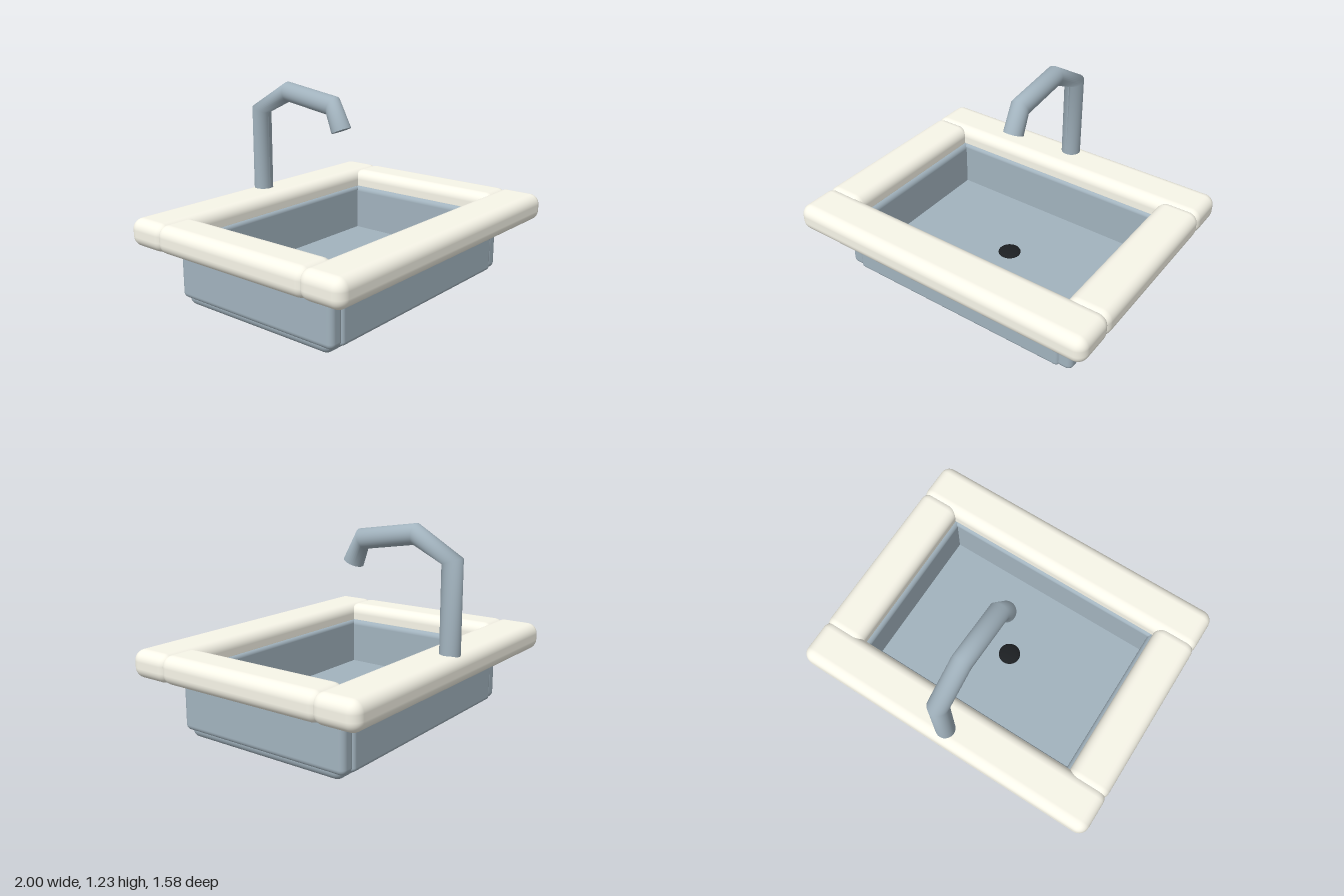
import * as THREE from 'three';
import { RoundedBoxGeometry } from 'three/addons/geometries/RoundedBoxGeometry.js';

const cream = new THREE.MeshStandardMaterial({ color: 0xf8f6e9 });
const steel = new THREE.MeshStandardMaterial({ color: 0xa2b3be });
const dark = new THREE.MeshStandardMaterial({ color: 0x1c1f22 });

// Rounded box given by its extents on each axis
function slab(name, [x0, x1], [y0, y1], [z0, z1], radius, material) {
  const mesh = new THREE.Mesh(new RoundedBoxGeometry(x1 - x0, y1 - y0, z1 - z0, 5, radius), material);
  mesh.position.set((x0 + x1) / 2, (y0 + y1) / 2, (z0 + z1) / 2);
  mesh.name = name;
  return mesh;
}

const span = (side, a, b) => (side > 0 ? [a, b] : [-b, -a]);

// Capped mitred pipe in the x = 0 plane; each joint is its outer and inner edge [z, y]
function bentPipe(joints, radius) {
  const steps = joints.length - 1;
  const geometry = new THREE.CylinderGeometry(1, 1, 1, 32, steps);
  const p = geometry.attributes.position;
  for (let k = 0; k < p.count; k++) {
    const [outer, inner] = joints[Math.round((p.getY(k) + 0.5) * steps)];
    const t = (p.getZ(k) + 1) / 2;
    p.setXYZ(k, p.getX(k) * radius,
      outer[1] + (inner[1] - outer[1]) * t,
      outer[0] + (inner[0] - outer[0]) * t);
  }
  geometry.computeVertexNormals();
  return new THREE.Mesh(geometry, steel);
}

export function createModel() {
  const model = new THREE.Group();
  model.name = 'sink';

  // Counter rim: four bars whose rounded ends run into each other
  const rim = new THREE.Group();
  rim.name = 'rim';
  // Basin: floor slab and four walls
  const basin = new THREE.Group();
  basin.name = 'basin';
  basin.add(slab('basinFloor', [-0.803, 0.803], [0, 0.125], [-0.543, 0.543], 0.05, steel));

  for (const s of [1, -1]) {
    const end = s > 0 ? 'front' : 'back';
    const side = s > 0 ? 'left' : 'right';
    rim.add(slab(end + 'Rim', [-1, 1], [0.358, 0.526], span(s, 0.502, 0.79), 0.065, cream));
    rim.add(slab(side + 'Rim', span(s, 0.738, 1), [0.358, 0.526], [-0.56, 0.56], 0.065, cream));
    basin.add(slab(end + 'Wall', [-0.738, 0.738], [0.04, 0.42], span(s, 0.485, 0.584), 0.025, steel));
    basin.add(slab(side + 'Wall', span(s, 0.714, 0.815), [0.04, 0.42], [-0.575, 0.575], 0.035, steel));
  }

  // Low domed drain in the middle of the floor
  const drain = new THREE.Mesh(new THREE.SphereGeometry(0.07, 28, 14), dark);
  drain.scale.y = 0.25;
  drain.position.y = 0.125;
  drain.name = 'drain';

  // Faucet: post, bent neck and spout
  const faucet = bentPipe([
    [[-0.759, 0.45], [-0.64, 0.45]],
    [[-0.759, 1.06], [-0.64, 1.022]],
    [[-0.47, 1.232], [-0.457, 1.11]],
    [[-0.08, 1.175], [-0.127, 1.06]],
    [[0.018, 1.0], [-0.095, 0.952]],
  ], 0.061);
  faucet.name = 'faucet';

  model.add(rim, basin, drain, faucet);
  return model;
}
